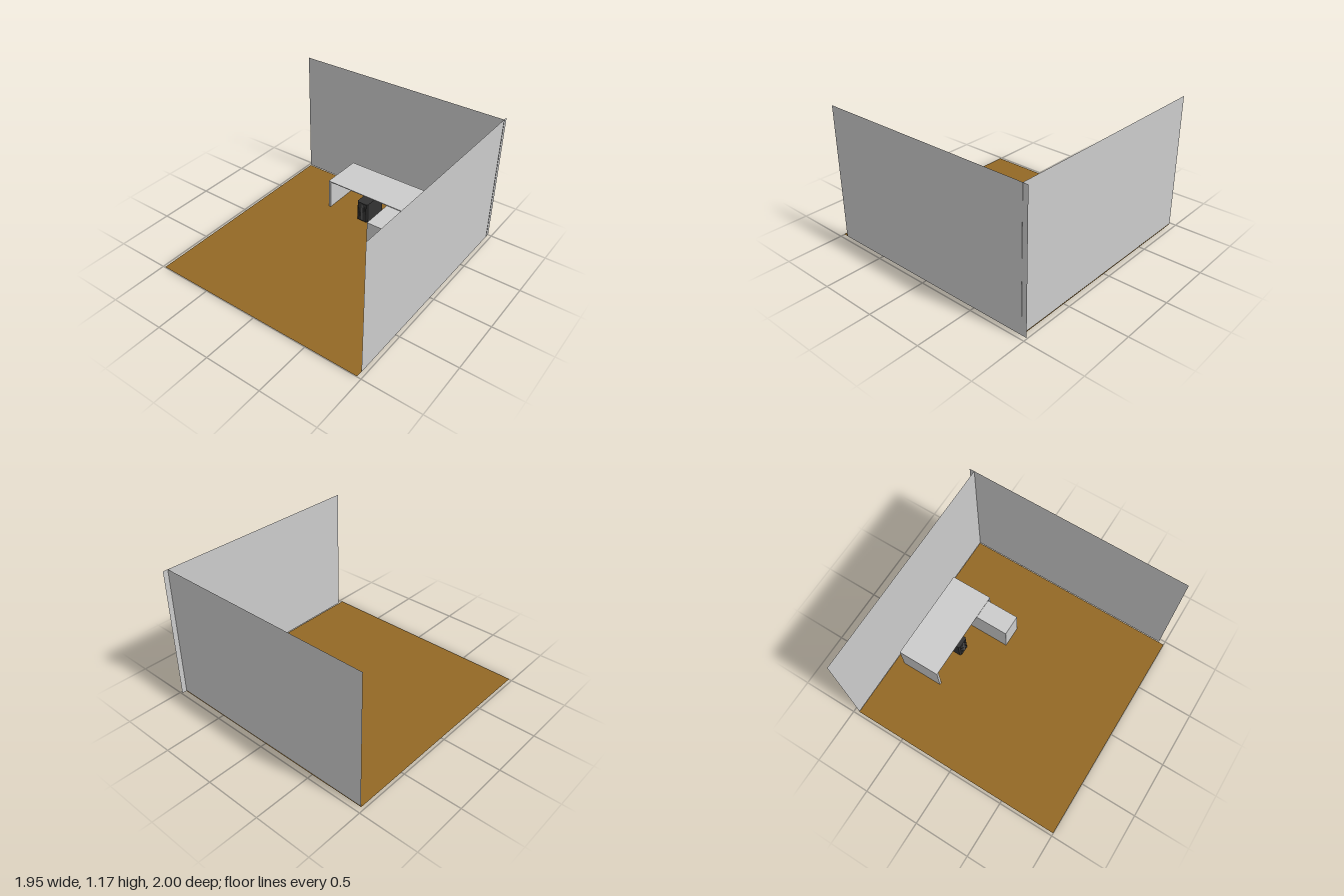
import * as THREE from 'three';

const material = (color) => new THREE.MeshStandardMaterial({ color, side: THREE.DoubleSide });
const grey = material(0xcccccc);
const wood = material(0x936825);
const dark = material(0x333333);
const midDark = material(0x555555);

// Box given by its lower and upper limits on each axis
function box(name, [x0, x1], [y0, y1], [z0, z1], mat = grey) {
  const mesh = new THREE.Mesh(new THREE.BoxGeometry(x1 - x0, y1 - y0, z1 - z0), mat);
  mesh.position.set((x0 + x1) / 2, (y0 + y1) / 2, (z0 + z1) / 2);
  mesh.name = name;
  return mesh;
}

function plane(name, width, height, position, rotation, mat = grey) {
  const mesh = new THREE.Mesh(new THREE.PlaneGeometry(width, height), mat);
  mesh.position.set(...position);
  mesh.rotation.set(...rotation);
  mesh.name = name;
  return mesh;
}

function createRoom() {
  const room = new THREE.Group();
  room.name = 'room';
  room.add(
    plane('floor', 1.942, 1.955, [-0.005, 0.005, 0.022], [-Math.PI / 2, 0, 0], wood),
    plane('backWall', 1.946, 1.16, [0, 0.592, -0.955], [0, 0, 0]),
    plane('leftWall', 1.95, 1.164, [0.97, 0.59, -0.024], [0, -Math.PI / 2, 0])
  );
  return room;
}

function createDesk() {
  const desk = new THREE.Group();
  desk.name = 'desk';
  const depth = [-0.877, -0.496];
  desk.add(box('deskTop', [-0.403, 0.433], [0.284, 0.291], depth));
  for (const [name, x] of [['rightLeg', -0.403], ['leftLeg', 0.411]]) {
    desk.add(box(name, [x, x + 0.022], [0.014, 0.284], depth));
  }
  return desk;
}

// Drawer unit, its front panel reaching slightly lower than the body
function createDrawerUnit() {
  const unit = new THREE.Group();
  unit.name = 'drawerUnit';
  unit.add(
    box('drawerBody', [0.218, 0.402], [0.008, 0.28], [-0.62, -0.21]),
    box('drawerFront', [0.218, 0.402], [0, 0.28], [-0.21, -0.2])
  );
  return unit;
}

// Dark case with a bevelled front, vertical ribs and a lighter centre strip
function createComputerCase() {
  const unit = new THREE.Group();
  unit.name = 'computerCase';
  const half = 0.056, depth = 0.24, height = 0.19;
  const plan = new THREE.Shape([
    [-half, -depth], [half, -depth], [half, -0.012], [half - 0.012, 0], [-half + 0.012, 0], [-half, -0.012]
  ].map(([x, z]) => new THREE.Vector2(x, -z)));
  const geometry = new THREE.ExtrudeGeometry(plan, { depth: height, bevelEnabled: false });
  geometry.rotateX(-Math.PI / 2).scale(1, 1, 1);
  // Rotation turns the plan's second axis into -z, so the front faces +z
  const body = new THREE.Mesh(geometry, dark);
  body.name = 'caseBody';
  unit.add(body);
  for (const x of [-0.038, -0.026, 0.026, 0.038]) {
    unit.add(box('frontRib', [x - 0.003, x + 0.003], [0.004, height - 0.004], [-0.002, 0.002], dark));
  }
  unit.add(box('frontStrip', [-0.008, 0.008], [0.012, height - 0.012], [-0.002, 0.002], midDark));
  unit.position.set(-0.026, 0.018, -0.486);
  return unit;
}

export function createModel() {
  const model = new THREE.Group();
  model.name = 'officeCorner';
  model.add(createRoom(), createDesk(), createDrawerUnit(), createComputerCase());
  return model;
}
